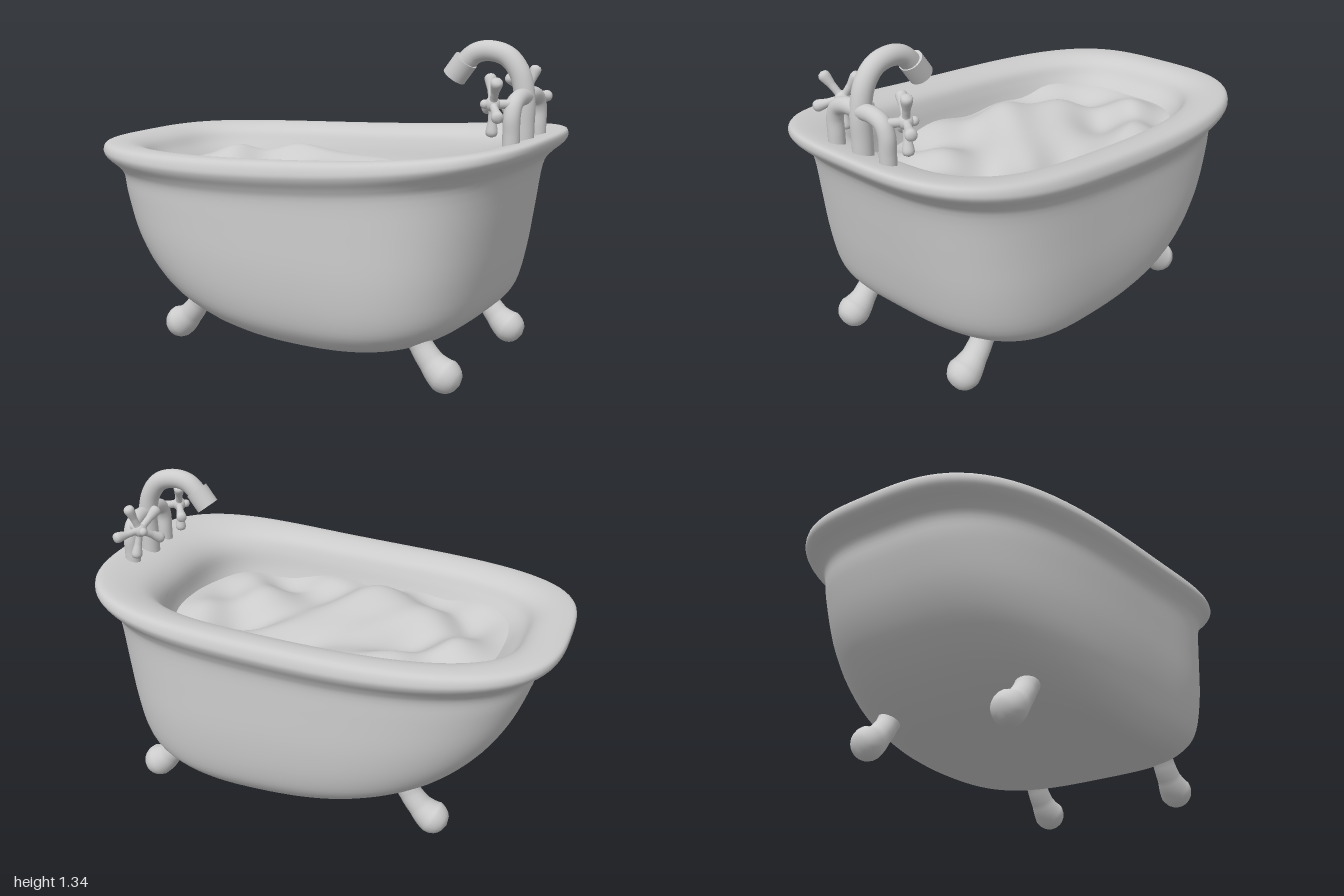
import * as THREE from 'three';
import { mergeVertices } from 'three/addons/utils/BufferGeometryUtils.js';

const V = (x, y, z = 0) => new THREE.Vector3(x, y, z);
const material = new THREE.MeshStandardMaterial({ color: 0xcccccc });

function add(parent, geometry, name) {
  const mesh = new THREE.Mesh(geometry, material);
  mesh.name = name;
  parent.add(mesh);
  return mesh;
}

// Welds seams and smooths the normals
function smooth(geometry) {
  geometry.deleteAttribute('uv');
  geometry.deleteAttribute('normal');
  const welded = mergeVertices(geometry, 1e-5);
  welded.computeVertexNormals();
  return welded;
}

// Closed rings joined into a skin; point(t, angle) gives each corner
function loft(rings, sides, point) {
  const pos = [], index = [];
  for (let i = 0; i <= rings; i++) {
    for (let j = 0; j < sides; j++) {
      pos.push(...point(i / rings, (j / sides) * Math.PI * 2).toArray());
      if (i === rings) continue;
      const a = i * sides + j, b = i * sides + ((j + 1) % sides);
      index.push(a, a + sides, b, b, a + sides, b + sides);
    }
  }
  const g = new THREE.BufferGeometry();
  g.setAttribute('position', new THREE.Float32BufferAttribute(pos, 3));
  g.setIndex(index);
  return smooth(g);
}

// Rounded-rectangle outline between xl and xr, half-width hz
function outline(angle, xl, xr, hz, cx, n) {
  const c = Math.cos(angle), s = Math.sin(angle);
  const r = (Math.abs(c) ** n + Math.abs(s) ** n) ** (-1 / n);
  return [cx + r * c * (c > 0 ? xr - cx : cx - xl), r * s * hz];
}

// Tube with varying radius and a rounded end that starts at capStart
function taperedTube(points, radii, capStart, segments = 28, sides = 20) {
  const curve = new THREE.CatmullRomCurve3(points);
  const g = new THREE.TubeGeometry(curve, segments, 1, sides);
  const p = g.attributes.position, v = V(0, 0);
  for (let i = 0; i < p.count; i++) {
    const t = Math.floor(i / (sides + 1)) / segments;
    const f = t * (radii.length - 1), k = Math.min(Math.floor(f), radii.length - 2);
    let r = THREE.MathUtils.lerp(radii[k], radii[k + 1], f - k);
    if (t > capStart) r *= Math.sqrt(Math.max(0, 1 - ((t - capStart) / (1 - capStart)) ** 2));
    const c = curve.getPointAt(t);
    v.fromBufferAttribute(p, i).sub(c).multiplyScalar(r).add(c);
    p.setXYZ(i, v.x, v.y, v.z);
  }
  return smooth(g);
}

function tubShell() {
  // left x, left y, right x, right y, half-width, sag of the long sides
  const rows = [
    [0.2, 0.11, 0.2, 0.11, 0, 0], [-0.1, 0.12, 0.4, 0.12, 0.26, 0.005],
    [-0.4, 0.175, 0.62, 0.16, 0.46, 0.04], [-0.6, 0.26, 0.73, 0.22, 0.545, 0.055],
    [-0.73, 0.37, 0.8, 0.3, 0.583, 0.06], [-0.82, 0.5, 0.84, 0.45, 0.6, 0.04],
    [-0.88, 0.65, 0.87, 0.63, 0.6, 0.02], [-0.9, 0.735, 0.9, 0.82, 0.6, 0.02],
    [-0.935, 0.775, 0.935, 0.88, 0.615, 0.02], [-0.985, 0.81, 0.985, 0.925, 0.638, 0.02],
    [-1, 0.84, 1, 0.955, 0.643, 0.02], [-0.985, 0.865, 0.985, 0.98, 0.62, 0.005],
    [-0.9, 0.867, 0.9, 0.965, 0.55, 0], [-0.84, 0.84, 0.8, 0.925, 0.48, 0],
    [-0.8, 0.79, 0.74, 0.86, 0.45, 0], [-0.75, 0.74, 0.72, 0.76, 0.43, 0],
    [-0.68, 0.66, 0.68, 0.66, 0.4, 0],
  ];
  const left = new THREE.CatmullRomCurve3(rows.map((r) => V(r[0], r[1], r[4])), false, 'catmullrom');
  const right = new THREE.CatmullRomCurve3(rows.map((r) => V(r[2], r[3], r[5])), false, 'catmullrom');
  return loft((rows.length - 1) * 4, 120, (t, angle) => {
    const l = left.getPoint(t), r = right.getPoint(t);
    const [x, z] = outline(angle, l.x, r.x, l.z, 0.2, 3.2);
    const u = r.x - l.x > 1e-4 ? THREE.MathUtils.clamp((x - l.x) / (r.x - l.x), 0, 1) : 0;
    return V(x, l.y + (r.y - l.y) * u * u - r.z * Math.sin(Math.PI * u), z);
  });
}

// Rippling surface filling the tub
function waterSurface() {
  return loft(32, 120, (t, angle) => {
    const [ox, oz] = outline(angle, -0.73, 0.71, 0.435, 0, 3);
    const x = ox * (1 - t), z = oz * (1 - t);
    const wave = 0.028 * Math.sin(9 * x + 3 * Math.sin(5 * z + 1))
      + 0.022 * Math.sin(11 * z - 4 * x + 2 * Math.sin(6 * x))
      + 0.012 * Math.sin(17 * x + 13 * z);
    const swell = 0.035 * Math.exp(-((x + 0.25) ** 2 + z * z) * 6);
    return V(x, 0.74 + swell + wave * (0.45 + 0.55 * Math.min(1, t * 4)), z);
  });
}

// Five-armed tap handle, facing local +z
function tapHandle(turn) {
  const handle = new THREE.Group();
  const armShape = taperedTube([V(0, 0), V(0.06, 0), V(0.128, 0)],
    [0.02, 0.015, 0.016, 0.022, 0.027], 0.8, 20, 14);
  for (let i = 0; i < 5; i++) {
    add(handle, armShape, 'handleArm').rotation.z = turn + (i * Math.PI * 2) / 5;
  }
  add(handle, new THREE.SphereGeometry(0.03, 20, 14), 'handleHub');
  add(handle, new THREE.SphereGeometry(0.018, 16, 12), 'handleKnob').position.z = 0.03;
  const stem = add(handle, new THREE.CylinderGeometry(0.018, 0.018, 0.09, 16), 'handleStem');
  stem.rotation.x = Math.PI / 2;
  stem.position.z = -0.045;
  return handle;
}

export function createModel() {
  const model = new THREE.Group();
  model.name = 'bathtub';
  add(model, tubShell(), 'tubShell');
  add(model, waterSurface(), 'water');

  // Four club feet splayed towards the ends
  for (const side of [-1, 1]) {
    const shift = side > 0 ? 0.19 : 0;
    const path = [[0.41, 0.24], [0.465, 0.15], [0.53, 0.085], [0.61, 0.047]]
      .map(([x, y]) => V(side * (x + shift), y));
    const foot = taperedTube(path, [0.05, 0.047, 0.052, 0.07, 0.072], 0.74);
    for (const z of [-0.34, 0.34]) add(model, foot, 'foot').position.z = z;
  }

  // Swan-neck spout with a collar at its mouth
  const faucet = new THREE.Group();
  faucet.name = 'faucet';
  model.add(faucet);
  const neck = new THREE.CatmullRomCurve3([
    V(0.895, 0.9), V(0.895, 1.02), V(0.895, 1.12), V(0.872, 1.22),
    V(0.82, 1.283), V(0.745, 1.303), V(0.685, 1.29), V(0.635, 1.245)]);
  add(faucet, new THREE.TubeGeometry(neck, 48, 0.041, 24), 'spout');
  const mouth = V(0.597, 1.195), back = V(0.646, 1.262);
  const collar = add(faucet, new THREE.CylinderGeometry(0.05, 0.05, 0.084, 28), 'spoutCollar');
  collar.position.copy(mouth).add(back).multiplyScalar(0.5);
  collar.quaternion.setFromUnitVectors(V(0, 1), back.clone().sub(mouth).normalize());

  // Side pipes and their handles, mirrored across the spout
  for (const s of [-1, 1]) {
    const pipe = new THREE.CatmullRomCurve3([
      V(0.9, 0.9, s * 0.148), V(0.9, 1, s * 0.148), V(0.9, 1.07, s * 0.148),
      V(0.9, 1.113, s * 0.128), V(0.9, 1.133, s * 0.08), V(0.9, 1.133, 0)]);
    add(faucet, new THREE.TubeGeometry(pipe, 32, 0.033, 20), 'sidePipe');
    const handle = tapHandle(s > 0 ? 0.9 : Math.PI + 0.09);
    handle.name = 'tapHandle';
    handle.position.set(0.835, 1.118, s * 0.18);
    handle.rotation.y = -Math.PI / 2 + s * 0.56;
    faucet.add(handle);
  }
  return model;
}
